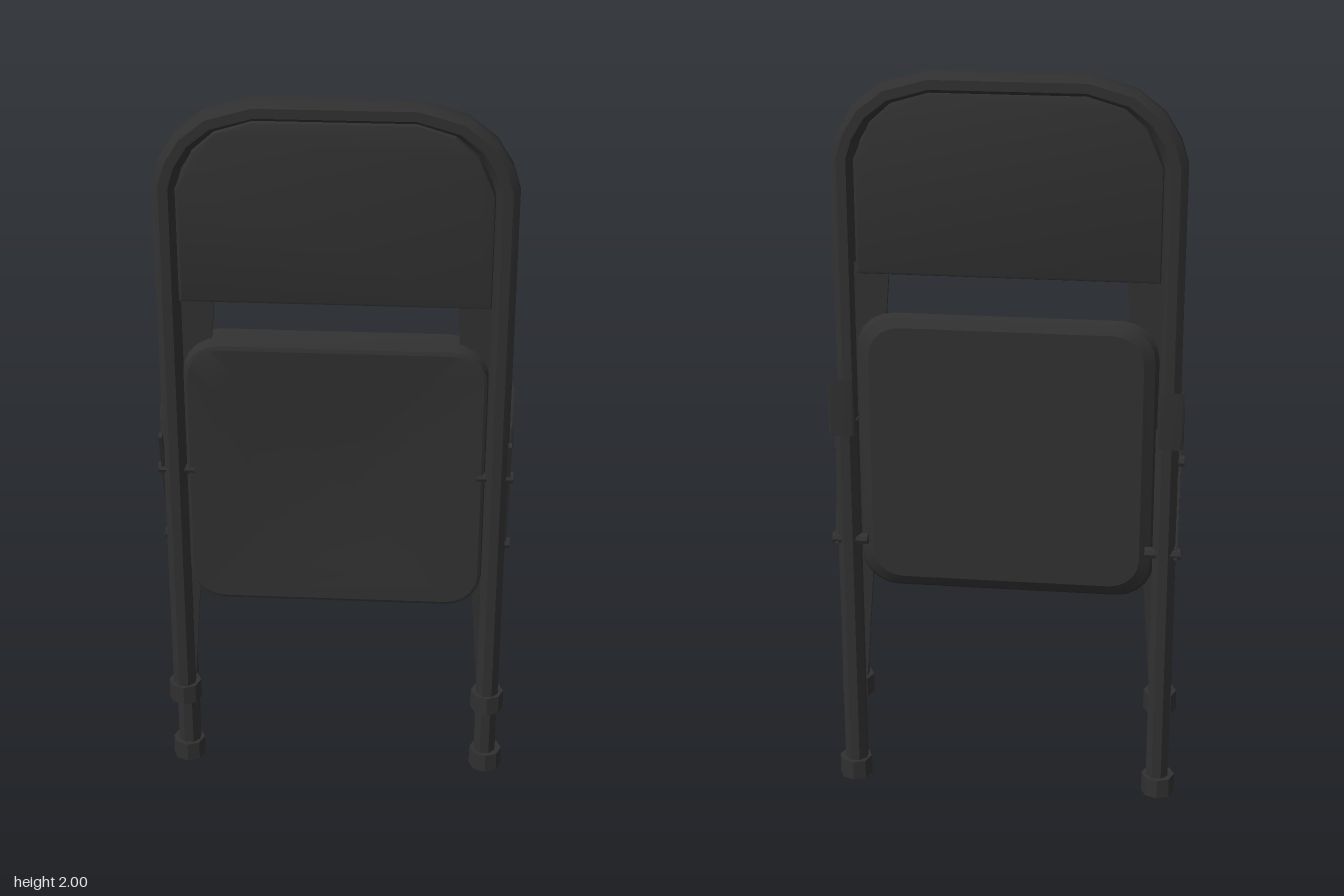
import * as THREE from 'three';
import { toCreasedNormals } from 'three/addons/utils/BufferGeometryUtils.js';

const paint = new THREE.MeshStandardMaterial({ color: 0x303030 });
paint.name = 'charcoal paint';

function add(parent, name, geometry, x = 0, y = 0, z = 0) {
  const mesh = new THREE.Mesh(toCreasedNormals(geometry, 0.4), paint);
  mesh.name = name;
  mesh.position.set(x, y, z);
  parent.add(mesh);
  return mesh;
}

// Skin a list of equal-length rings and close both ends with a fan
function loft(rings) {
  const n = rings[0].length, pos = rings.flat(2), idx = [];
  for (let r = 0; r < rings.length - 1; r++) {
    for (let i = 0; i < n; i++) {
      const a = r * n + i, b = r * n + (i + 1) % n;
      idx.push(a, b, b + n, a, b + n, a + n);
    }
  }
  const last = (rings.length - 1) * n;
  for (let i = 1; i < n - 1; i++) idx.push(0, i + 1, i, last, last + i, last + i + 1);
  const g = new THREE.BufferGeometry();
  g.setAttribute('position', new THREE.Float32BufferAttribute(pos, 3));
  g.setIndex(idx);
  return g;
}

// Eight-sided pipe with mitred bends along a path in the xy plane
function pipe(path, radius) {
  const pts = path.map(([x, y]) => new THREE.Vector2(x, y));
  return loft(pts.map((p, k) => {
    const before = p.clone().sub(pts[Math.max(k - 1, 0)]).normalize();
    const after = pts[Math.min(k + 1, pts.length - 1)].clone().sub(p).normalize();
    const t = before.clone().add(after).normalize();
    const miter = 1 / Math.max(t.dot(after), t.dot(before));
    return Array.from({ length: 8 }, (_, i) => {
      const a = (i + 0.5) * Math.PI / 4;
      const u = Math.cos(a) * radius * miter;
      return [p.x + t.y * u, p.y - t.x * u, -Math.sin(a) * radius];
    });
  }));
}

function outline(points) {
  return new THREE.Shape(points.map(([x, y]) => new THREE.Vector2(x, y)));
}

// Ring of a rounded rectangle, anticlockwise seen from the front
function roundedRing(w, bottom, top, r, depth) {
  const ring = [], cy = (bottom + top) / 2, h = (top - bottom) / 2;
  [[1, 1], [-1, 1], [-1, -1], [1, -1]].forEach(([sx, sy], q) => {
    for (let i = 0; i <= 5; i++) {
      const a = (q + i / 5) * Math.PI / 2;
      const x = sx * (w - r) + r * Math.cos(a), y = cy + sy * (h - r) + r * Math.sin(a);
      ring.push([x, y, depth(x, y - cy)]);
    }
  });
  return ring;
}

export function createModel() {
  const chair = new THREE.Group();
  chair.name = 'foldingChair';

  // Bent front frame
  const half = [[0.425, 0.25], [0.425, 1.775], [0.408, 1.83], [0.372, 1.888], [0.31, 1.937], [0.2, 1.968]];
  const path = [...half, ...half.map(([x, y]) => [-x, y]).reverse()];
  add(chair, 'frontFrame', pipe(path, 0.0325), 0, 0, 0.03);

  // Backrest panel, rounded at the top
  const side = [[0.387, 1.478], [0.387, 1.77], [0.345, 1.862], [0.29, 1.912], [0.2, 1.94]];
  const panel = new THREE.ExtrudeGeometry(
    outline([...side, ...side.map(([x, y]) => [-x, y]).reverse()]),
    { depth: 0.046, bevelEnabled: true, bevelSize: 0.008, bevelThickness: 0.008, bevelSegments: 2 });
  add(chair, 'backrest', panel, 0, 0, 0.012);

  // Seat pan: inset flat back, sloping sides and a dished front
  const flat = z => () => z;
  const dish = (x, y) => 0.046 - 0.022 * (1 - (y / 0.375) ** 2) * (1 - (x / 0.385) ** 2);
  const rings = [
    roundedRing(0.36, 0.63, 1.34, 0.08, flat(-0.037)),
    roundedRing(0.388, 0.6, 1.362, 0.095, flat(-0.018)),
    roundedRing(0.397, 0.588, 1.37, 0.1, flat(0)),
    roundedRing(0.397, 0.58, 1.355, 0.1, flat(0.025)),
    roundedRing(0.392, 0.58, 1.338, 0.09, flat(0.042)),
  ];
  for (const s of [1, 0.8, 0.6, 0.4, 0.2, 0.03]) {
    rings.push(roundedRing(0.385 * s, 0.958 - 0.37 * s, 0.958 + 0.37 * s, 0.085 * s, dish));
  }
  add(chair, 'seat', loft(rings));

  for (const s of [1, -1]) {
    const group = new THREE.Group();
    group.name = s > 0 ? 'leftSide' : 'rightSide';
    chair.add(group);
    const x = s * 0.425;

    // Rear leg and rubber feet
    add(group, 'rearLeg', pipe([[x, 0.03], [x, 1.08]], 0.0325), 0, 0, -0.026);
    add(group, 'rearFoot', new THREE.CylinderGeometry(0.045, 0.046, 0.055, 8), s * 0.428, 0.0275, -0.026);
    add(group, 'frontFoot', new THREE.CylinderGeometry(0.045, 0.046, 0.055, 8), s * 0.425, 0.262, 0.026);

    // Slant-topped hinge cap on the rear leg
    const cap = new THREE.ExtrudeGeometry(
      outline([[0, 1.045], [0.055, 1.045], [0.062, 1.195], [0.004, 1.1]]),
      { depth: 0.056, bevelEnabled: true, bevelSize: 0.004, bevelThickness: 0.006, bevelSegments: 1 });
    cap.rotateY(Math.PI / 2);
    add(group, 'hingeCap', cap, s * 0.433 - 0.028, 0, 0);

    // Tapered web along the inside of the front leg
    const web = [[0.41, 0.29], [0.41, 1.5], [0.308, 1.5], [0.395, 0.29]].map(([a, b]) => [s * a, b]);
    add(group, 'legWeb', new THREE.ExtrudeGeometry(outline(web), { depth: 0.012, bevelEnabled: false }), 0, 0, 0.012);

    // Diagonal folding link
    const link = add(group, 'foldingLink', new THREE.BoxGeometry(0.01, 0.385, 0.018), s * 0.457, 0.905, 0.013);
    link.rotation.x = Math.atan2(0.11, 0.37);

    // Pivot pins
    for (const [y, z] of [[0.975, 0.033], [0.735, -0.035]]) {
      const pin = add(group, 'pivotPin', new THREE.CylinderGeometry(0.016, 0.016, 0.096, 8), s * 0.422, y, z);
      pin.rotation.z = Math.PI / 2;
    }
  }
  return chair;
}
